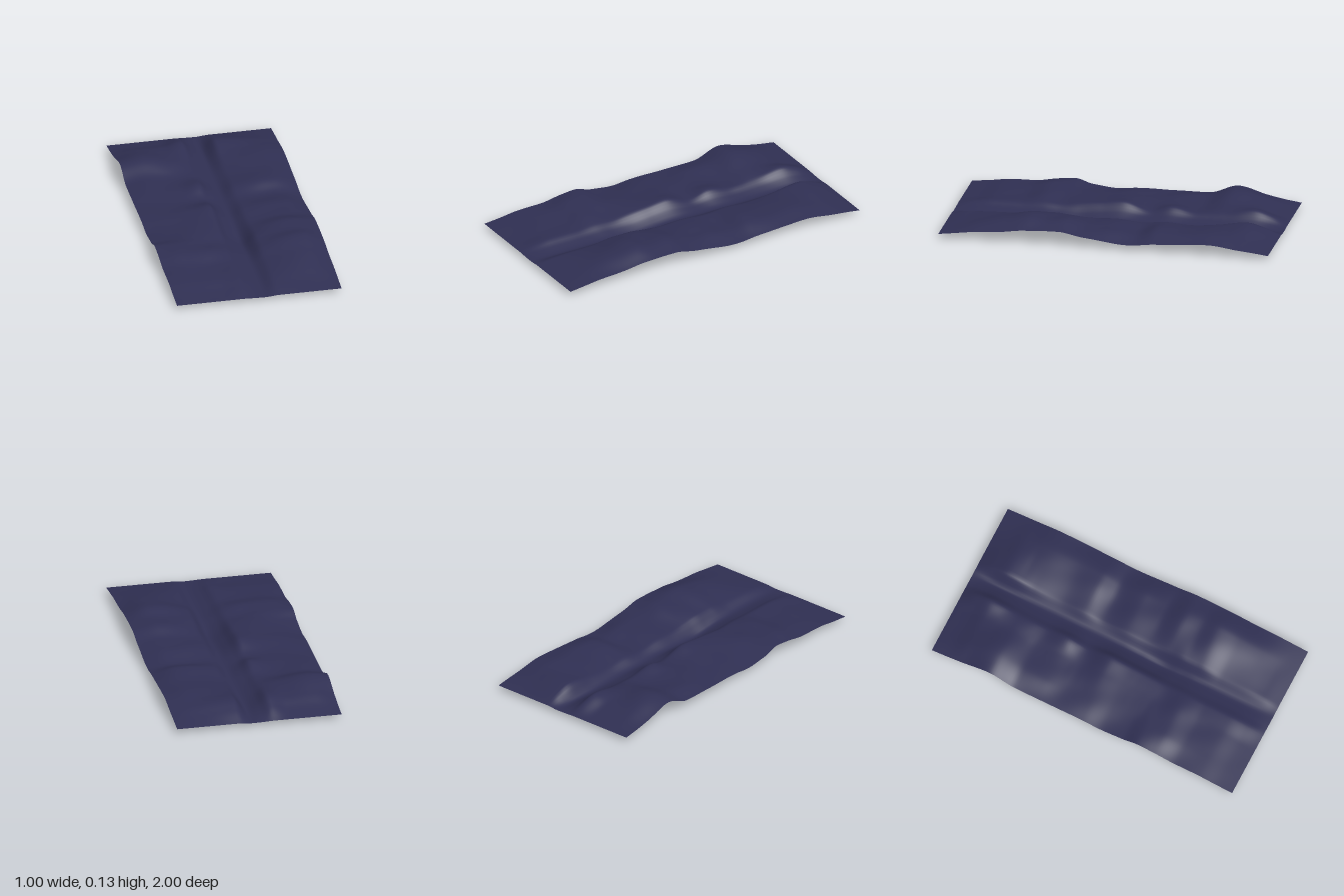
import * as THREE from 'three';

// Stations across the sheet (x); the channel wall and floor sit in the middle
const stations = [-0.5, -0.37, -0.2, -0.09, -0.03, 0.04, 0.12, 0.36, 0.5];

// Bank heights in hundredths: four stations left of the channel, three right of it
const edge = { left: Array(4).fill(2.5), right: Array(3).fill(2.7) };
const sections = [
  { z: -1.0, ...edge },
  { z: -0.9, left: [4, 5, 5, 7.5], right: [7, 5, 4] },
  { z: -0.8, left: [6, 8.5, 8, 10.2], right: [9.5, 7.5, 5] },
  { z: -0.62, left: [10.5, 12.2, 9.5, 7.5], right: [7, 9, 7] },
  { z: -0.45, left: [5.5, 7.5, 6, 6.5], right: [5.5, 8.5, 6] },
  { z: -0.3, left: [5, 7, 7, 9], right: [6.5, 9, 5] },
  { z: -0.17, left: [5, 6, 6.5, 6], right: [5, 5.5, 3.5] },
  { z: 0.0, left: [5, 7, 8.5, 10.5], right: [6.5, 8, 5] },
  { z: 0.13, left: [4, 6, 8.5, 9], right: [6, 8, 6.5] },
  { z: 0.27, left: [5.5, 7, 8, 7.5], right: [7, 11.5, 9] },
  { z: 0.37, left: [8.5, 8.7, 7.5, 6.5], right: [8, 11, 9] },
  { z: 0.48, left: [7.5, 9.2, 8.5, 7], right: [8, 12.8, 8.5] },
  { z: 0.62, left: [5.5, 6.5, 6, 6], right: [6, 10.5, 6.5] },
  { z: 0.78, left: [5, 5.5, 5.5, 6], right: [5.5, 7.2, 5.5] },
  { z: 0.9, left: [3.5, 3.6, 3.6, 4.6], right: [4.5, 4.4, 4] },
  { z: 1.0, ...edge },
];
const sectionZ = sections.map((s) => s.z);

// Full cross-section: the channel floor dips once along its length
const profiles = sections.map(({ z, left, right }) => {
  const floor = 2.1 - 1.9 * Math.exp(-(((z - 0.26) / 0.15) ** 2));
  const wall = floor + 0.4 * (left[3] - floor);
  return [...left, wall, floor, ...right];
});

// Smooth curve through points, without overshoot
function smoothCurve(xs, ys, x) {
  const last = xs.length - 1;
  let i = 0;
  while (i < last - 1 && x > xs[i + 1]) i++;
  const slope = (k) => (ys[k + 1] - ys[k]) / (xs[k + 1] - xs[k]);
  const tangent = (k) => {
    if (k === 0) return slope(0);
    if (k === last) return slope(last - 1);
    const a = slope(k - 1), b = slope(k);
    return a * b <= 0 ? 0 : (2 * a * b) / (a + b);
  };
  const w = xs[i + 1] - xs[i], t = (x - xs[i]) / w, u = 1 - t;
  return ys[i] * u * u * (1 + 2 * t) + ys[i + 1] * t * t * (3 - 2 * t)
    + w * (tangent(i) * t * u * u - tangent(i + 1) * t * t * u);
}

// Ground height: the sections blended along z, with faint ripples on the banks
function heightAt(x, z) {
  const row = stations.map((_, k) => smoothCurve(sectionZ, profiles.map((p) => p[k]), z));
  const bank = Math.min(1, Math.abs(x - 0.04) * 4) * Math.max(0, 1 - z * z);
  const ripple = 0.25 * bank * Math.sin(23 * x + 5 * z) * Math.sin(19 * z - 7 * x);
  return (smoothCurve(stations, row, x) + ripple) / 100;
}

export function createModel() {
  const group = new THREE.Group();
  group.name = 'terrain';

  const slate = new THREE.MeshStandardMaterial({ color: 0x2f2f52, side: THREE.DoubleSide });
  slate.name = 'dark slate blue';

  // Open sheet of ground with a channel along its length
  const geometry = new THREE.PlaneGeometry(1, 2, 72, 120).rotateX(-Math.PI / 2);
  const p = geometry.attributes.position;
  for (let i = 0; i < p.count; i++) p.setY(i, heightAt(p.getX(i), p.getZ(i)));
  geometry.computeVertexNormals();

  const ground = new THREE.Mesh(geometry, slate);
  ground.name = 'groundWithChannel';
  group.add(ground);
  return group;
}
